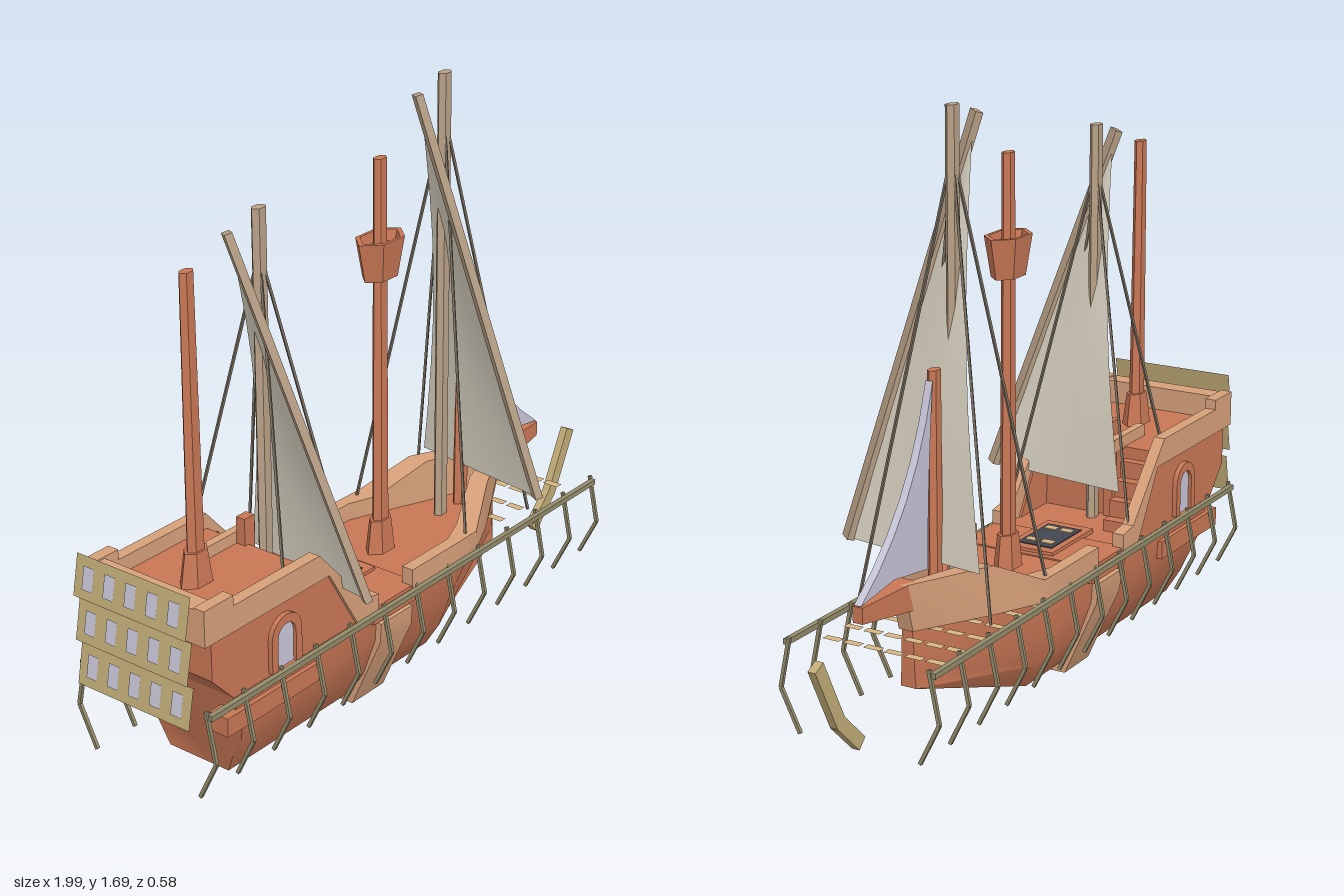
import * as THREE from 'three';
import { toCreasedNormals } from 'three/addons/utils/BufferGeometryUtils.js';

const mat = (name, color) => {
  const m = new THREE.MeshStandardMaterial({ color, side: THREE.DoubleSide });
  m.name = name;
  return m;
};
const V = (x, y, z) => new THREE.Vector3(x, y, z);

export function createModel() {
  const red = mat('red wood', 0xc97755), trim = mat('light wood', 0xd7a07a);
  const spar = mat('spar wood', 0xb9a187), cloth = mat('sail cloth', 0xded7c6);
  const pale = mat('pale lavender', 0xc8c6d8), rope = mat('dark rope', 0x7c7263);
  const olive = mat('olive rail', 0x938b6c), tan = mat('tan plank', 0xd6b686);
  const dark = mat('hatch dark', 0x434753), beam = mat('beam wood', 0xc2ad78);

  const root = new THREE.Group();
  root.name = 'sailingShip';
  const ship = new THREE.Group();
  ship.name = 'ship';
  ship.position.z = -0.043;
  root.add(ship);

  const add = (name, geo, material, parent = ship) => {
    const m = new THREE.Mesh(toCreasedNormals(geo, 0.62), material);
    m.name = name;
    parent.add(m);
    return m;
  };
  const box = (name, material, x0, x1, y0, y1, z0, z1) => add(name,
    new THREE.BoxGeometry(x1 - x0, y1 - y0, z1 - z0)
      .translate((x0 + x1) / 2, (y0 + y1) / 2, (z0 + z1) / 2), material);
  // Straight square bar with a flat face toward z; flat squeezes its depth
  const rod = (name, a, b, r, material, flat = 1) => {
    const geo = new THREE.CylinderGeometry(r, r, a.distanceTo(b), 4).rotateY(Math.PI / 4).scale(1, 1, flat);
    const m = add(name, geo, material);
    m.position.copy(a).add(b).multiplyScalar(0.5);
    m.quaternion.setFromUnitVectors(V(0, 1, 0), b.clone().sub(a).normalize());
    return m;
  };
  // Side outline in x and y, spanning z0 to z1
  const slab = (name, material, pts, z0, z1) => add(name,
    new THREE.ExtrudeGeometry(new THREE.Shape(pts.map(p => new THREE.Vector2(...p))),
      { depth: z1 - z0, bevelEnabled: false }).translate(0, 0, z0), material);

  // Closed loft through convex sections, wound outward by its signed volume
  const loft = (name, material, sections) => {
    const n = sections[0].length, pos = sections.flat(2), idx = [];
    for (let s = 0; s < sections.length - 1; s++)
      for (let i = 0; i < n; i++) {
        const a = s * n + i, b = s * n + (i + 1) % n;
        idx.push(a, b, b + n, a, b + n, a + n);
      }
    const e = (sections.length - 1) * n;
    for (let i = 1; i < n - 1; i++) idx.push(0, i + 1, i, e, e + i, e + i + 1);
    const p = i => V(...pos.slice(i * 3, i * 3 + 3));
    let vol = 0;
    for (let i = 0; i < idx.length; i += 3) vol += p(idx[i]).dot(p(idx[i + 1]).cross(p(idx[i + 2])));
    if (vol < 0) idx.reverse();
    const g = new THREE.BufferGeometry();
    g.setAttribute('position', new THREE.Float32BufferAttribute(pos, 3));
    g.setIndex(idx);
    return add(name, g, material);
  };

  // Hull: each level is [x, y, halfWidth] from keel to deck
  const hullSection = levels => [...levels, ...levels.slice().reverse().map(([x, y, w]) => [x, y, -w])];
  loft('hull', red, [
    [[-0.755, 0.035, 0.105], [-0.755, 0.11, 0.152], [-0.796, 0.23, 0.195], [-0.837, 0.335, 0.202]],
    [[0.11, 0.035, 0.105], [0.11, 0.11, 0.152], [0.11, 0.23, 0.195], [0.11, 0.335, 0.202]],
    [[0.55, 0.17, 0.024], [0.55, 0.21, 0.02], [0.55, 0.277, 0.018], [0.555, 0.335, 0.016]],
  ].map(hullSection));

  // Band wrapped under the hull
  const band = [[0.217, 0.29], [0.213, 0.23], [0.112, 0], [-0.112, 0], [-0.213, 0.23], [-0.217, 0.29]];
  loft('hullBand', trim, [-0.24, -0.1].map(x => band.map(([z, y]) => [x, y, z])));

  // Main deck, gangway, beak and hatch
  loft('mainDeck', red, [[-0.52, 0.195], [0.11, 0.195], [0.53, 0.015]].map(([x, w]) =>
    [[x, 0.31, w], [x, 0.31, -w], [x, 0.346, -w], [x, 0.346, w]]));
  box('gangway', red, -0.268, -0.072, 0.298, 0.35, -0.213, 0.213);
  loft('beak', red, [[0.55, 0.395, 0.03], [0.785, 0.43, 0.015]].map(([x, y, w]) =>
    [[x, y, w], [x, y, -w], [x, 0.475, -w], [x, 0.475, w]]));
  box('hatchFrame', red, -0.33, -0.09, 0.34, 0.36, -0.075, 0.075);
  box('hatchOpening', dark, -0.297, -0.12, 0.352, 0.363, -0.055, 0.055);
  for (const x of [-0.265, -0.155]) for (const z of [-0.024, 0.026])
    box('hatchSlat', tan, x - 0.013, x + 0.013, 0.36, 0.366, z - 0.019, z + 0.019);

  // Stern castle
  slab('castleBody', red, [[-0.837, 0.335], [-0.917, 0.42], [-0.917, 0.565], [-0.5, 0.565], [-0.5, 0.335]], -0.19, 0.19);
  box('sternRail', trim, -0.95, -0.89, 0.535, 0.635, -0.19, 0.19);
  for (let i = 0; i < 4; i++)
    box('stair', red, -0.5, -0.47 + i * 0.035, 0.34, 0.53 - i * 0.05, -0.18, -0.09);
  box('stairRail', trim, -0.63, -0.44, 0.56, 0.6, -0.085, -0.06);
  box('stairPost', red, -0.515, -0.475, 0.35, 0.645, -0.06, -0.03);

  const arch = (w, h) => {
    const s = new THREE.Shape();
    s.moveTo(-w, 0);
    s.lineTo(w, 0);
    s.lineTo(w, h - w);
    s.absarc(0, h - w, w, 0, Math.PI, false);
    s.closePath();
    return s;
  };
  for (const s of [1, -1]) {
    const side = (name, m, pts, a, b) => slab(name, m, pts, Math.min(s * a, s * b), Math.max(s * a, s * b));
    side('castleSide', red, [[-0.837, 0.335], [-0.917, 0.42], [-0.917, 0.54], [-0.46, 0.54], [-0.34, 0.335]], 0.175, 0.207);
    side('castleRail', trim, [[-0.95, 0.535], [-0.95, 0.64], [-0.84, 0.64], [-0.84, 0.61], [-0.5, 0.61],
      [-0.31, 0.4], [-0.25, 0.39], [-0.25, 0.335], [-0.34, 0.335], [-0.46, 0.535]], 0.182, 0.217);
    side('sideBox', red, [[-0.87, 0.235], [-0.505, 0.235], [-0.505, 0.29], [-0.87, 0.29]], 0.15, 0.213);

    // Arched windows
    const ring = arch(0.06, 0.155);
    ring.holes.push(arch(0.036, 0.128));
    const frame = add('windowFrame', new THREE.ExtrudeGeometry(ring,
      { depth: 0.016, bevelEnabled: false, curveSegments: 5 }), red);
    frame.position.set(-0.64, 0.345, s > 0 ? 0.205 : -0.221);
    const pane = add('windowPane', new THREE.ShapeGeometry(arch(0.037, 0.13), 5), pale);
    pane.position.set(-0.64, 0.345, s * 0.211);
    if (s < 0) pane.rotation.y = Math.PI;

    // Bow bulwark: [x, outer, inner, top, foot x]
    loft('bowBulwark', trim, [[-0.1, 0.217, 0.18, 0.4, -0.1], [0.11, 0.217, 0.18, 0.4, 0.11],
      [0.2, 0.215, 0.145, 0.4, 0.2], [0.35, 0.143, 0.08, 0.475, 0.35], [0.6, 0.022, 0, 0.475, 0.56]].map(
      ([x, o, i, y, f]) => [[f, 0.335, s * o], [x, y, s * o], [x, y, s * i], [f, 0.335, s * i]]));

    // Outer rail with bent hanging ribs
    rod('outerRail', V(-0.95, 0.335, s * 0.225), V(0.787, 0.335, s * 0.225), 0.011, olive);
    for (let i = 0; i < 13; i++) {
      const x = -0.95 + i * 0.1447, pts = [V(x, 0.35, s * 0.213), V(x, 0.205, s * 0.243), V(x, 0.087, s * 0.185)];
      rod('ribUpper', pts[0], pts[1], 0.007, olive);
      rod('ribLower', pts[1], pts[2], 0.007, olive);
    }
  }

  // Flat slats between the rails at the bow
  for (const x of [0.23, 0.31, 0.41, 0.505, 0.605, 0.7])
    for (let i = 0; i < 6; i++) {
      const p = add('bowSlat', new THREE.PlaneGeometry(0.025, 0.05).rotateX(-Math.PI / 2), tan);
      p.position.set(x, 0.333, -0.18 + i * 0.063);
    }

  // Tilted stern gallery rows with panes
  for (let r = 0; r < 3; r++) {
    const row = new THREE.Group();
    row.name = 'sternGalleryRow';
    row.position.set(-0.985, 0.365 + r * 0.13, 0);
    row.rotation.set(0, -Math.PI / 2, 0);
    ship.add(row);
    const tilt = new THREE.Group();
    tilt.name = 'tiltedPanel';
    tilt.rotation.x = -0.19;
    row.add(tilt);
    add('galleryPanel', new THREE.PlaneGeometry(0.39, 0.118), beam, tilt);
    for (let i = 0; i < 5; i++) {
      const p = add('galleryPane', new THREE.PlaneGeometry(0.036, 0.065), pale, tilt);
      p.position.set(-0.148 + i * 0.074, 0, 0.003);
    }
  }

  // Masts, flattened across the ship
  const mast = (name, x, y0, y1, rb, rt, material) => add(name, new THREE.CylinderGeometry(rt, rb, y1 - y0, 6)
    .rotateY(Math.PI / 6).scale(1, 1, 0.62).translate(x, (y0 + y1) / 2, 0), material);
  mast('mainMast', 0.03, 0.34, 1.52, 0.032, 0.025, red);
  mast('mainMastCollar', 0.03, 0.34, 0.445, 0.057, 0.042, red);
  mast('aftMast', -0.74, 0.56, 1.43, 0.032, 0.025, red);
  mast('aftMastCollar', -0.74, 0.56, 0.66, 0.06, 0.042, red);
  mast('bowMast', 0.412, 0.34, 1.01, 0.029, 0.025, red);

  // Crow's nest with a shallow well
  const nest = [[0.001, 1.18], [0.066, 1.18], [0.092, 1.295], [0.075, 1.295], [0.066, 1.265], [0.001, 1.265]];
  add('crowsNest', new THREE.LatheGeometry(nest.map(p => new THREE.Vector2(...p)), 6)
    .rotateY(Math.PI / 6).scale(1, 1, 0.62).translate(0.03, 0, 0), red);

  // Triangular sail from the yard to a free edge, bellying toward the bow
  const sail = (peak, foot, clew) => {
    const g = new THREE.PlaneGeometry(1, 1, 5, 8), p = g.attributes.position;
    for (let i = 0; i < p.count; i++) {
      const u = p.getX(i) + 0.5, v = 0.5 - p.getY(i);
      const q = peak.clone().lerp(foot.clone().lerp(clew, u), v);
      q.x += 0.05 * Math.sin(Math.PI * u / 2) * Math.sin(Math.PI * v);
      p.setXYZ(i, q.x, q.y, q.z);
    }
    add('sail', g, cloth);
  };

  // Slanted yard, sail and stays on each tall mast
  for (const [x, top] of [[0.315, 1.69], [-0.465, 1.52]]) {
    mast('sailMast', x, 0.345, top, 0.026, 0.026, spar);
    const head = V(x - 0.122, top - 0.035, 0), foot = V(x + 0.045, 0.475, 0.313);
    rod('yard', head, foot, 0.026, spar, 0.6);
    sail(head.clone().lerp(foot, 0.03), foot, V(x + 0.11, 0.475, -0.145));
    for (const sx of [-0.15, 0.155]) for (const sz of [-0.205, 0.205])
      rod('stay', V(x, top - 0.12, 0), V(x + sx, 0.36, sz), 0.0048, rope);
  }

  // Curved jib with a little thickness
  const luff = new THREE.QuadraticBezierCurve(new THREE.Vector2(0.436, 0.985),
    new THREE.Vector2(0.465, 0.72), new THREE.Vector2(0.467, 0.478));
  const leech = new THREE.QuadraticBezierCurve(new THREE.Vector2(0.785, 0.478),
    new THREE.Vector2(0.525, 0.66), new THREE.Vector2(0.436, 0.985));
  slab('jib', pale, [...luff.getPoints(5), new THREE.Vector2(0.63, 0.5), ...leech.getPoints(6).slice(0, -1)]
    .map(p => [p.x, p.y]), -0.011, 0.011);

  // Bent beam ahead of the bow
  rod('beamLower', V(0.79, 0.105, 0), V(0.887, 0.2, 0), 0.028, beam, 0.6);
  rod('beamUpper', V(0.88, 0.19, 0), V(0.975, 0.38, 0), 0.028, beam, 0.6);
  return root;
}
